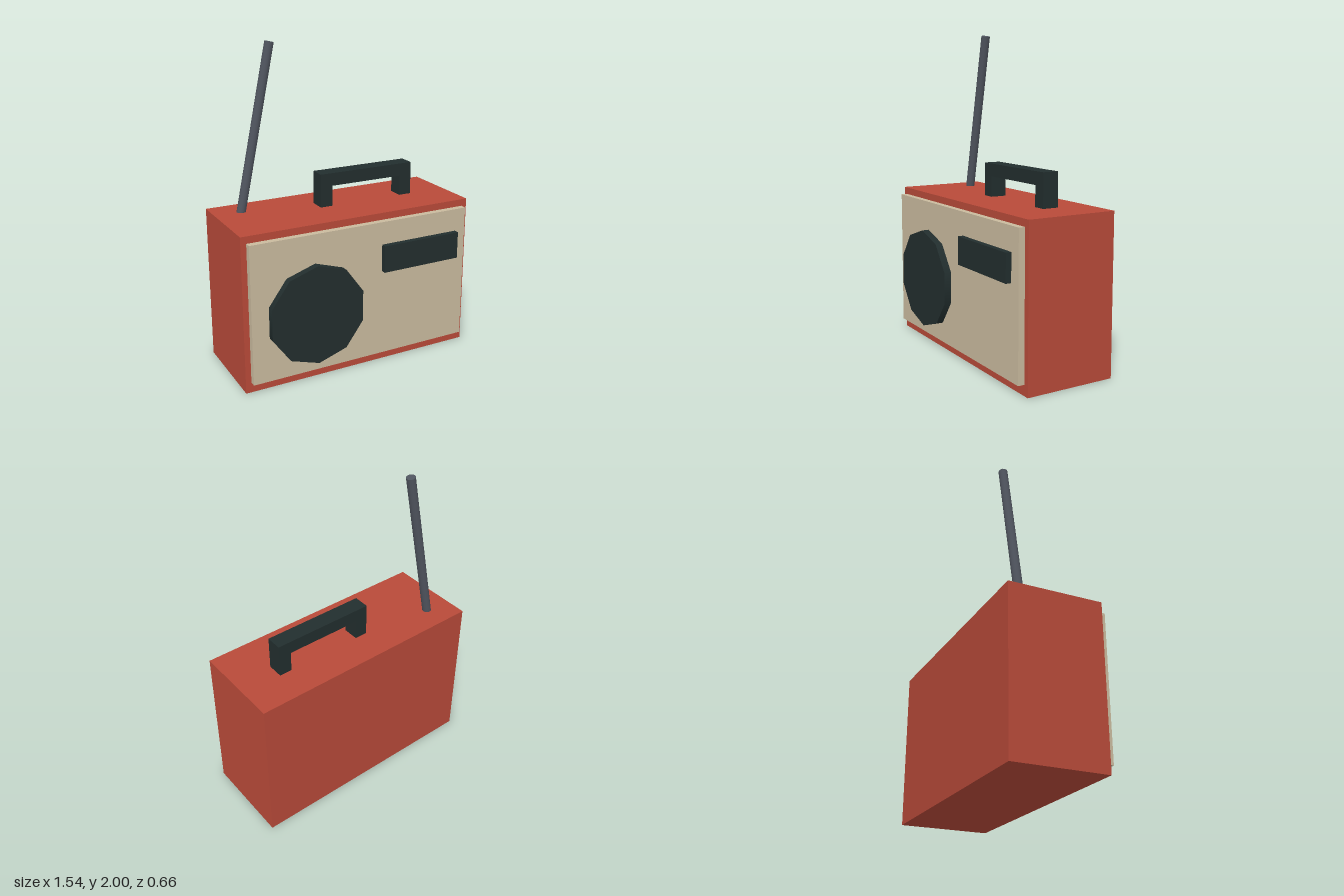
import * as THREE from 'three';

export function createModel() {
  const radio = new THREE.Group();
  radio.name = 'portableRadio';

  const material = (name, color) => {
    const m = new THREE.MeshStandardMaterial({ color });
    m.name = name;
    return m;
  };
  const red = material('red', 0xb84a39);
  const cream = material('cream', 0xc9ba9e);
  const dark = material('darkGreen', 0x222e2e);
  const grey = material('steelGrey', 0x50555f);

  const add = (parent, name, geometry, mat) => {
    const mesh = new THREE.Mesh(geometry, mat);
    mesh.name = name;
    parent.add(mesh);
    return mesh;
  };
  // Box given by its minimum and maximum on each axis
  const box = (parent, name, mat, [x0, x1], [y0, y1], [z0, z1]) => {
    const mesh = add(parent, name, new THREE.BoxGeometry(x1 - x0, y1 - y0, z1 - z0), mat);
    mesh.position.set((x0 + x1) / 2, (y0 + y1) / 2, (z0 + z1) / 2);
    return mesh;
  };

  // Case and front
  box(radio, 'case', red, [-0.77, 0.77], [0, 0.983], [-0.331, 0.245]);
  box(radio, 'frontPanel', cream, [-0.735, 0.735], [0.065, 0.939], [0.235, 0.285]);
  box(radio, 'tuningDial', dark, [0.126, 0.662], [0.623, 0.795], [0.275, 0.32]);

  // Ten-sided speaker with a corner at the top
  const speaker = add(radio, 'speaker', new THREE.CylinderGeometry(0.314, 0.314, 0.06, 10), dark);
  speaker.rotation.x = Math.PI / 2;
  speaker.position.set(-0.328, 0.444, 0.3);

  // Carrying handle: two posts and a bar
  const handle = new THREE.Group();
  handle.name = 'handle';
  radio.add(handle);
  const depth = [-0.124, -0.022];
  box(handle, 'handleBar', dark, [-0.134, 0.515], [1.112, 1.193], depth);
  box(handle, 'rightPost', dark, [-0.134, -0.053], [0.97, 1.112], depth);
  box(handle, 'leftPost', dark, [0.434, 0.515], [0.97, 1.112], depth);

  // Leaning antenna
  const base = new THREE.Vector3(-0.604, 0.96, -0.176);
  const tip = new THREE.Vector3(-0.386, 1.994, -0.176);
  const along = tip.clone().sub(base);
  const antenna = add(radio, 'antenna', new THREE.CylinderGeometry(0.028, 0.028, along.length(), 12), grey);
  antenna.position.copy(base).add(tip).multiplyScalar(0.5);
  antenna.quaternion.setFromUnitVectors(new THREE.Vector3(0, 1, 0), along.normalize());

  return radio;
}
